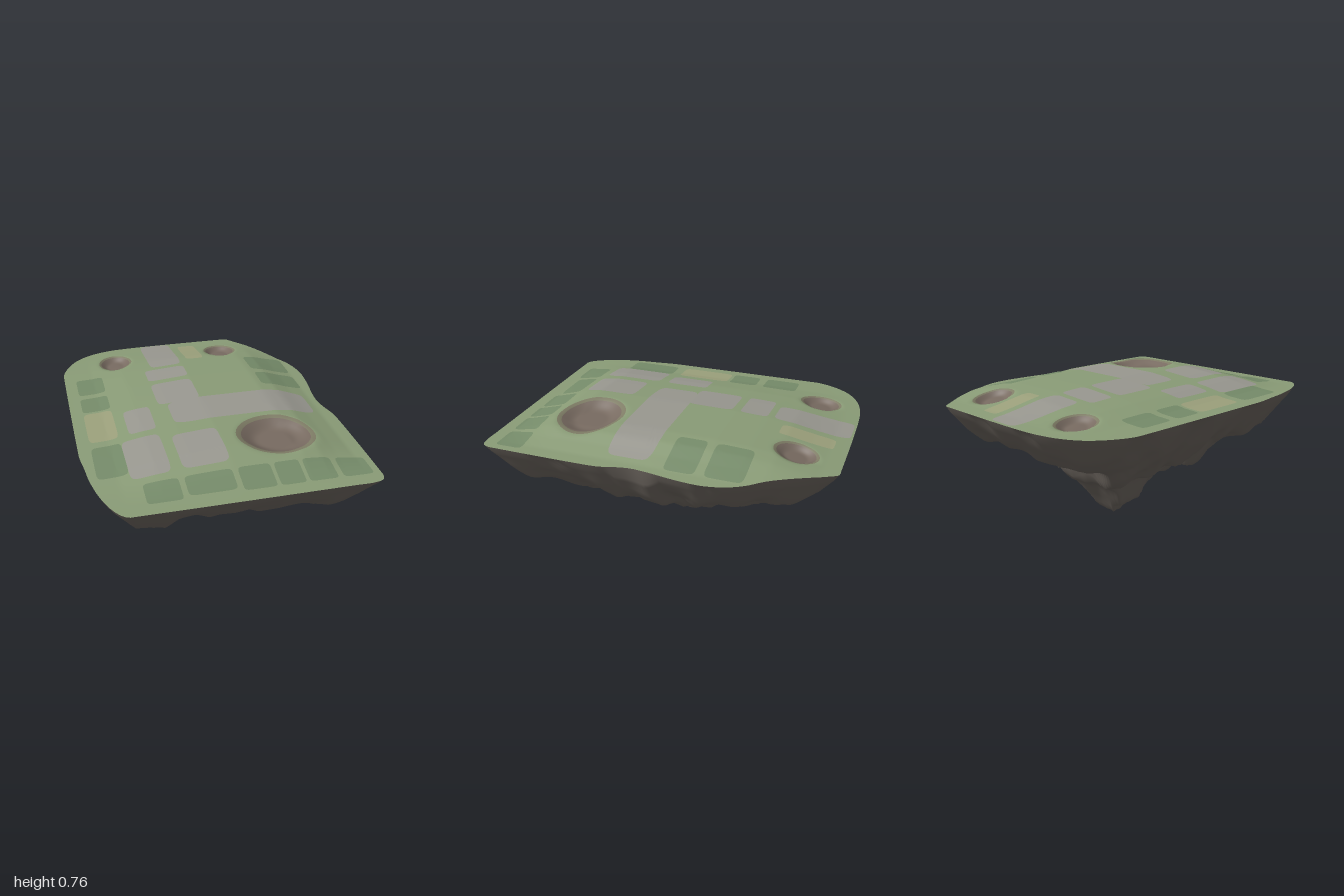
import * as THREE from 'three';

// Piecewise-linear curve through [position, value] pairs
function curve(pts, t) {
  if (t <= pts[0][0]) return pts[0][1];
  for (let i = 1; i < pts.length; i++) {
    const [a, va] = pts[i - 1], [b, vb] = pts[i];
    if (t <= b) return va + (vb - va) * (t - a) / (b - a);
  }
  return pts[pts.length - 1][1];
}

// Island outline (x, z), clockwise seen from above
const OUTLINE = [
  [-0.27, -1], [0.38, -1], [0.43, -0.998], [0.46, -0.96], [0.53, -0.85], [0.64, -0.66],
  [0.74, -0.5], [0.778, -0.36], [0.775, -0.22], [0.745, 0], [0.74, 0.08], [0.75, 0.15],
  [0.775, 0.25], [0.78, 0.32], [0.78, 0.9], [0.778, 0.95], [0.76, 0.985], [0.7, 1], [0.6, 1],
  [-0.55, 1], [-0.6, 0.998], [-0.65, 0.95], [-0.71, 0.82], [-0.75, 0.65], [-0.765, 0.52],
  [-0.78, 0.4], [-0.782, 0.3], [-0.782, -0.6], [-0.78, -0.66], [-0.74, -0.77], [-0.66, -0.88],
  [-0.55, -0.95], [-0.42, -0.987]];

// Mound sections across x and along z, as shares of the full rise
const RISE_X = [[-0.78, 0], [-0.6, 0.12], [-0.4, 0.55], [-0.2, 0.8], [0, 1], [0.4, 1],
  [0.5, 0.82], [0.6, 0.4], [0.7, 0.06], [0.78, 0]];
const RISE_Z = [[-1, 0], [-0.9, 0.1], [-0.8, 0.3], [-0.65, 0.65], [-0.5, 0.82], [-0.3, 0.95],
  [0, 1], [0.6, 1], [0.7, 0.8], [0.8, 0.4], [0.9, 0.06], [1, 0]];

// Lowest rock heights across x and along z
const ROCK_X = [[-0.78, 0.67], [-0.65, 0.48], [-0.55, 0.37], [-0.46, 0.27], [-0.36, 0.25],
  [-0.3, 0.08], [-0.24, 0.06], [-0.21, 0], [-0.05, 0.04], [0, 0.1], [0.1, 0.16], [0.2, 0.15],
  [0.26, 0.28], [0.44, 0.3], [0.5, 0.36], [0.6, 0.39], [0.68, 0.47], [0.78, 0.67]];
const ROCK_Z = [[-1, 0.67], [-0.93, 0.56], [-0.85, 0.48], [-0.78, 0.43], [-0.65, 0.43],
  [-0.55, 0.38], [-0.5, 0.25], [-0.4, 0.2], [-0.33, 0.1], [-0.27, 0], [-0.1, 0.05], [0, 0.09],
  [0.1, 0.11], [0.2, 0.14], [0.3, 0.11], [0.4, 0.18], [0.45, 0.24], [0.55, 0.35], [0.7, 0.42],
  [0.8, 0.43], [0.9, 0.54], [1, 0.67]];
// Rock shelf from centre to rim, and the deep core by distance from its ridge
const SHELF = [[0.3, 0.2], [0.5, 0.3], [0.6, 0.36], [0.7, 0.4], [0.8, 0.44], [0.9, 0.54], [1, 0.67]];
const CORE = [[0.08, 0], [0.14, 0.1], [0.22, 0.2], [0.32, 0.3], [0.42, 0.38], [0.6, 0.7]];
const RIDGE = [[-0.2, -0.27], [-0.05, -0.05], [0.2, 0.08], [0, 0.3]];
// Small hanging spurs: x, z, tip height
const SPURS = [[-0.42, 0.15, 0.2], [0.33, -0.15, 0.24], [0.05, -0.5, 0.22]];

// Craters: centre x, z, radius x, z, depth
const CRATERS = [[0.32, 0.51, 0.23, 0.2, 0.055], [-0.42, -0.74, 0.11, 0.13, 0.035],
  [0.32, -0.74, 0.11, 0.13, 0.035]];

function topHeight(x, z) {
  let y = 0.68 + 0.08 * curve(RISE_X, x) * curve(RISE_Z, z);
  for (const [cx, cz, rx, rz, depth] of CRATERS) {
    const r = Math.hypot((x - cx) / rx, (z - cz) / rz);
    y -= depth * (1 - THREE.MathUtils.smoothstep(r, 0.45, 1.08));
  }
  return y;
}

// Shortest distance from a point to the core's ridge line
function ridgeDistance(x, z) {
  let best = Infinity;
  for (let i = 1; i < RIDGE.length; i++) {
    const [ax, az] = RIDGE[i - 1], dx = RIDGE[i][0] - ax, dz = RIDGE[i][1] - az;
    const t = THREE.MathUtils.clamp(((x - ax) * dx + (z - az) * dz) / (dx * dx + dz * dz), 0, 1);
    best = Math.min(best, Math.hypot(x - ax - dx * t, z - az - dz * t));
  }
  return best;
}

function rockHeight(x, z, s) {
  if (s >= 1) return topHeight(x, z);
  const { smoothstep } = THREE.MathUtils;
  const a = Math.atan2(z, x);
  // Buttresses and lumps, fading out at the rim and at the tip
  const lumps = smoothstep(s, 0.1, 0.4) * (0.06 * Math.abs(Math.sin(5 * a + 1.5 * Math.sin(2 * a)))
    + 0.03 * Math.abs(Math.sin(9 * a + 4 * s)) - 0.05)
    + 0.035 * Math.sin(14 * x + 2 * z) * Math.sin(12 * z - 3 * x);
  const tip = smoothstep(Math.hypot(x + 0.2, z + 0.27), 0.02, 0.2);
  const bump = lumps * tip * smoothstep(1 - s, 0, 0.25);
  // Wavy steps along both axes bound the shelf, core and spurs
  const wx = x + 0.02 * tip * Math.sin(13 * z + 0.4), wz = z + 0.02 * tip * Math.sin(15 * x + 3);
  const steps = Math.max(curve(ROCK_X, wx), curve(ROCK_Z, wz)) + 0.5 * Math.max(0, bump);
  const spurs = SPURS.map(([px, pz, y]) => y + 1.3 * Math.hypot(x - px, z - pz));
  const mass = Math.min(curve(SHELF, s), curve(CORE, ridgeDistance(x, z)), ...spurs);
  return Math.min(0.675, Math.max(0, steps, mass + bump));
}

// Split the edges of a closed outline into short steps
function subdivide(points, step) {
  const out = [];
  points.forEach(([x, z], i) => {
    const [nx, nz] = points[(i + 1) % points.length];
    const n = Math.max(1, Math.round(Math.hypot(nx - x, nz - z) / step));
    for (let k = 0; k < n; k++) out.push([x + (nx - x) * k / n, z + (nz - z) * k / n]);
  });
  return out;
}

// Surface of concentric rings of an outline, with its height given by a rule
function sheet(name, color, outline, cx, cz, rings, height, down = false) {
  const n = outline.length, pos = [cx, height(cx, cz, 0), cz], index = [];
  const tri = (a, b, c) => down ? index.push(a, b, c) : index.push(a, c, b);
  for (let r = 1; r <= rings; r++) {
    const s = r / rings;
    outline.forEach(([ox, oz], i) => {
      const x = cx + (ox - cx) * s, z = cz + (oz - cz) * s;
      pos.push(x, height(x, z, s), z);
      const j = (i + 1) % n, o = 1 + (r - 1) * n, p = o - n;
      if (r === 1) tri(0, o + i, o + j);
      else { tri(p + i, o + i, o + j); tri(p + i, o + j, p + j); }
    });
  }
  const g = new THREE.BufferGeometry();
  g.setAttribute('position', new THREE.Float32BufferAttribute(pos, 3));
  g.setIndex(index);
  g.computeVertexNormals();
  const mesh = new THREE.Mesh(g, new THREE.MeshStandardMaterial({ color }));
  mesh.name = name;
  return mesh;
}

// Ellipse (power 1) or rounded rectangle (small power)
function oval(cx, cz, rx, rz, power) {
  const points = Array.from({ length: 40 }, (_, i) => {
    const a = (i + 0.5) / 40 * Math.PI * 2, c = Math.cos(a), s = Math.sin(a);
    return [cx + rx * Math.sign(c) * Math.abs(c) ** power, cz + rz * Math.sign(s) * Math.abs(s) ** power];
  });
  return subdivide(points, 0.025);
}

// Ground patches as x0, x1, z0, z1
const PATCHES = {
  paving: [0x999890, [[-0.21, 0, -0.99, -0.53], [-0.26, 0, -0.49, -0.32], [-0.26, 0, -0.27, 0.01],
    [-0.21, 0.66, 0, 0.27], [-0.48, -0.32, 0, 0.27], [-0.54, -0.32, 0.33, 0.71], [-0.26, 0, 0.38, 0.71]]],
  sandBed: [0x9ca17c, [[0.05, 0.17, -0.92, -0.6], [-0.71, -0.54, -0.07, 0.27]]],
  darkGrass: [0x768c6a, [[-0.71, -0.54, -0.54, -0.32], [-0.71, -0.54, -0.27, -0.09],
    [0.43, 0.7, -0.54, -0.32], [0.43, 0.7, -0.27, -0.09], [-0.71, -0.54, 0.33, 0.65],
    [-0.49, -0.3, 0.76, 0.92], [-0.27, -0.01, 0.76, 0.9], [0.02, 0.2, 0.76, 0.92],
    [0.22, 0.36, 0.76, 0.92], [0.38, 0.54, 0.76, 0.92], [0.57, 0.74, 0.76, 0.92]]],
};

export function createModel() {
  const island = new THREE.Group();
  island.name = 'floatingIsland';
  const rim = new THREE.CatmullRomCurve3(OUTLINE.map(([x, z]) => new THREE.Vector3(x, 0, z)), true);
  const edge = rim.getSpacedPoints(260).slice(0, -1).map(p => [p.x, p.z]);
  island.add(sheet('rockUnderside', 0x716a63, edge, 0, 0, 48, rockHeight, true));
  island.add(sheet('grassTop', 0x8a9c77, edge, 0, 0, 48, topHeight));

  // Patches and crater floors lie just over the grass
  const over = (x, z) => topHeight(x, z) + 0.003;
  for (const [name, [color, rects]] of Object.entries(PATCHES)) {
    for (const [x0, x1, z0, z1] of rects) {
      const cx = (x0 + x1) / 2, cz = (z0 + z1) / 2;
      const border = oval(cx, cz, (x1 - x0) / 2, (z1 - z0) / 2, 0.25);
      island.add(sheet(name, color, border, cx, cz, 14, over));
    }
  }
  for (const [cx, cz, rx, rz] of CRATERS) {
    island.add(sheet('craterEdge', 0x7f7d66, oval(cx, cz, rx, rz, 1), cx, cz, 14, over));
    island.add(sheet('craterFloor', 0x786b61, oval(cx, cz, rx * 0.87, rz * 0.87, 1), cx, cz, 14,
      (x, z) => over(x, z) + 0.002));
  }
  return island;
}
